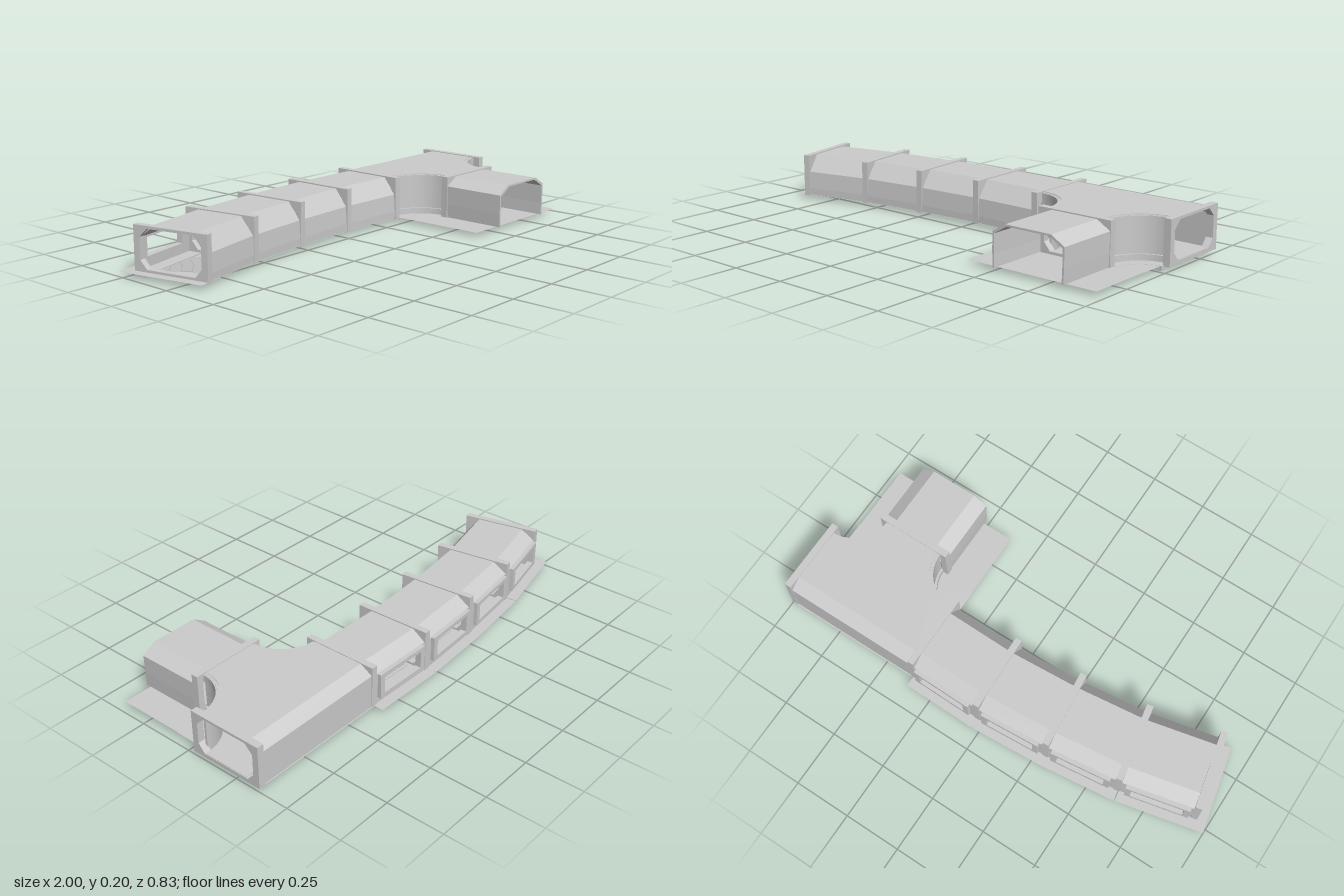
import * as THREE from 'three';

const mat = new THREE.MeshStandardMaterial({ color: 0xcccccc, side: THREE.DoubleSide, flatShading: true });
const smooth = new THREE.MeshStandardMaterial({ color: 0xcccccc, side: THREE.DoubleSide });

function add(parent, name, geo, x = 0, y = 0, z = 0, material = mat) {
  const m = new THREE.Mesh(geo, material);
  m.name = name;
  m.position.set(x, y, z);
  parent.add(m);
  return m;
}

const poly = (pts) => new THREE.Shape(pts.map(([a, b]) => new THREE.Vector2(a, b)));
const rect = (a, b, c, d) => poly([[a, b], [c, b], [c, d], [a, d]]);
const box = (w, h, d) => new THREE.BoxGeometry(w, h, d);
const extrude = (shape, depth) =>
  new THREE.ExtrudeGeometry(shape, { depth, bevelEnabled: false, curveSegments: 14 });

// Section drawn as (z, y), run along x and centred on it
const alongX = (shape, len) => extrude(shape, len).translate(0, 0, -len / 2).rotateY(-Math.PI / 2);
// Plan drawn as (x, -z), raised along y
const upward = (shape, h) => extrude(shape, h).rotateX(-Math.PI / 2);

// Square bulkhead with an eight-sided doorway
function bulkheadShape() {
  const s = rect(-0.168, 0.015, 0.168, 0.201);
  s.holes.push(poly([
    [-0.11, 0.03], [0.11, 0.03], [0.14, 0.065], [0.14, 0.155],
    [0.105, 0.19], [-0.105, 0.19], [-0.14, 0.155], [-0.14, 0.065],
  ]));
  return s;
}

// Thin flat roof with a sloping shoulder and wall on the chosen sides
function shellShape(front, back, t = 0.008) {
  const outer = [];
  if (back) outer.push(...back.map(([u, y]) => [-u, y]));
  if (front) outer.push(...[...front].reverse());
  const inner = outer.map(([u, y]) => [u - Math.sign(u) * t, y < 0.03 ? y : y - t]).reverse();
  return poly([...outer, ...inner]);
}

const frontWall = [[0.165, 0.02], [0.165, 0.05], [0.16, 0.125], [0.105, 0.196]];
const shoulder = [[0.165, 0.153], [0.105, 0.196]];
const branchWall = [[0.163, 0.02], [0.165, 0.08], [0.165, 0.16], [0.105, 0.196]];

// Joint centres of the bending corridor (x, z)
const joints = [[0.36, -0.2], [0.04, -0.205], [-0.275, -0.185], [-0.585, -0.148], [-0.9, -0.077]];

function corridorSegment(i) {
  const [x0, z0] = joints[i], [x1, z1] = joints[i + 1];
  const L = Math.hypot(x0 - x1, z0 - z1);
  const g = new THREE.Group();
  g.name = 'corridorSegment';
  g.position.set((x0 + x1) / 2, 0, (z0 + z1) / 2);
  g.rotation.y = Math.atan2(z1 - z0, x0 - x1);

  add(g, 'roofAndInnerWall', alongX(shellShape(frontWall, shoulder), L));

  // Outer wall with a window and its raised surround
  const wall = rect(-L / 2, 0.02, L / 2, 0.155);
  const hole = rect(-L / 2 + 0.05, 0.062, L / 2 - 0.05, 0.138);
  wall.holes.push(hole);
  add(g, 'windowWall', extrude(wall, 0.01), 0, 0, -0.165);
  const trim = rect(-L / 2 + 0.025, 0.045, L / 2 - 0.025, 0.155);
  trim.holes.push(hole);
  add(g, 'windowSurround', extrude(trim, 0.016), 0, 0, -0.181);

  // Floor sheet, wider than the walls on the outer side
  const end = i === 3 ? 0.055 : 0.015;
  const floor = new THREE.PlaneGeometry(L + end, 0.38).rotateX(-Math.PI / 2);
  add(g, 'floor', floor, -end / 2, 0.02, -0.022);

  // Floor grating and the beams below it
  const n = 15;
  for (let k = 0; k < n; k++) {
    const slat = add(g, 'gratingSlat', box(0.006, 0.008, 0.17), -0.1 + (0.2 * k) / (n - 1), 0.02, 0);
    slat.rotation.y = 0.35;
  }
  for (const z of [-0.09, 0.09]) add(g, 'gratingRail', box(L - 0.05, 0.008, 0.008), 0, 0.02, z);
  add(g, 'underBeam', box(L - 0.04, 0.016, 0.02), 0, 0.012, -0.15);
  add(g, 'underBeam', box(L - 0.04, 0.014, 0.014), 0, 0.013, -0.11);
  return g;
}

function corridor() {
  const g = new THREE.Group();
  g.name = 'curvedCorridor';
  for (let i = 0; i < 4; i++) g.add(corridorSegment(i));
  const angles = [0, 0.03, 0.092, 0.17, 0.222];
  joints.forEach(([x, z], i) => {
    const f = add(g, 'bulkhead', alongX(bulkheadShape(), 0.028), x, 0, z);
    f.rotation.y = angles[i];
    // Foot under the outer end of each bulkhead
    if (i) {
      const foot = add(f, 'bulkheadFoot', box(0.04, 0.018, 0.065), 0, 0.009, -0.132);
      foot.name = 'bulkheadFoot';
    }
  });
  return g;
}

function junction() {
  const g = new THREE.Group();
  g.name = 'junction';
  const R = 0.18, zc = 0.1, xl = 0.37, xr = 0.975;

  // Roof with a concave rounded corner on each side of the branch
  const roof = new THREE.Shape();
  roof.moveTo(xl, 0.31);
  roof.lineTo(xl, R - zc);
  roof.absarc(xl, -zc, R, Math.PI / 2, 0, true);
  roof.lineTo(xr - R, -zc);
  roof.absarc(xr, -zc, R, Math.PI, Math.PI / 2, true);
  roof.lineTo(xr, 0.31);
  add(g, 'junctionRoof', upward(roof, 0.008), 0, 0.19, 0);

  // Back wall and its sloping shoulder
  const back = poly([[-0.365, 0.018], [-0.365, 0.165], [-0.31, 0.198], [-0.31, 0.19], [-0.357, 0.16], [-0.357, 0.018]]);
  add(g, 'junctionBackWall', alongX(back, xr - xl), (xl + xr) / 2, 0, 0);

  // Curved corner walls with slim ledges
  const arcBand = (x, a0, a1, r0, r1) => {
    const s = new THREE.Shape();
    s.absarc(x, -zc, r1, a0, a1, false);
    s.absarc(x, -zc, r0, a1, a0, true);
    return s;
  };
  const H = Math.PI / 2;
  for (const [x, a] of [[xl, 0], [xr, H]]) {
    add(g, 'cornerWall', upward(arcBand(x, a, a + H, R - 0.01, R), 0.178), 0, 0.018, 0, smooth);
    add(g, 'cornerLedge', upward(arcBand(x, a, a + H, R - 0.02, R), 0.025), 0, 0.02, 0, smooth);
    add(g, 'cornerCornice', upward(arcBand(x, a, a + H, R - 0.016, R), 0.03), 0, 0.165, 0, smooth);
  }
  // Short skirt beneath the right-hand corner
  add(g, 'cornerSkirt', upward(arcBand(xr, H, Math.PI, 0.115, 0.135), 0.02), 0, 0, 0, smooth);

  // Floor sheets of the crossing and the branch
  const sheet = (w, d) => new THREE.PlaneGeometry(w, d).rotateX(-Math.PI / 2);
  add(g, 'junctionFloor', sheet(0.6, 0.46), 0.67, 0.019, -0.14);
  add(g, 'branchFloor', sheet(0.595, 0.3), 0.67, 0.019, 0.24);

  // Bulkheads at the branch and at the far end, with a door sill
  add(g, 'branchBulkhead', extrude(bulkheadShape(), 0.03), 0.675, 0, 0.1);
  add(g, 'endBulkhead', alongX(bulkheadShape(), 0.03), 0.985, 0, -0.2);
  add(g, 'doorSill', box(0.035, 0.012, 0.2), 0.98, 0.026, -0.2);

  // Open-ended branch corridor
  add(g, 'branchCorridor', extrude(shellShape(branchWall, branchWall), 0.285), 0.675, 0, 0.125);
  return g;
}

export function createModel() {
  const model = new THREE.Group();
  model.name = 'corridorJunction';
  model.add(corridor(), junction());
  return model;
}
